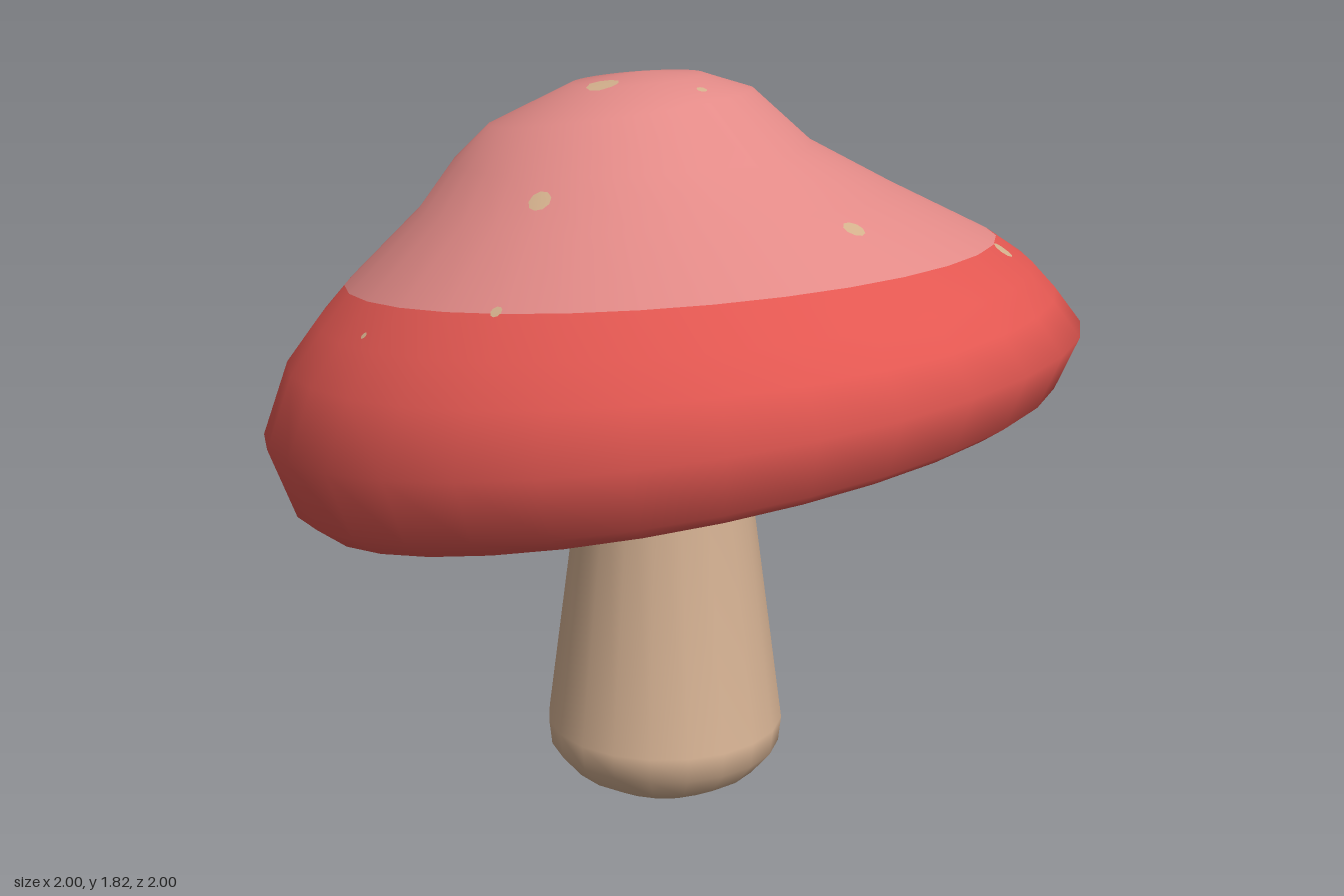
import * as THREE from 'three';
import { mergeVertices } from 'three/addons/utils/BufferGeometryUtils.js';

const SIDES = 32;

const material = (name, color) => {
  const m = new THREE.MeshStandardMaterial({ color });
  m.name = name;
  return m;
};

// Smooth skin over leaning rings: [radius, centre x, y, z, rise along x, rise along z]
function leaningRings(rings) {
  const lathe = new THREE.LatheGeometry(rings.map(([r]) => new THREE.Vector2(r, 0)), SIDES);
  const pos = lathe.attributes.position;
  for (let i = 0; i < pos.count; i++) {
    const [, cx, cy, cz, sx, sz] = rings[i % rings.length];
    const dx = pos.getX(i), dz = pos.getZ(i);
    pos.setXYZ(i, cx + dx, cy + sx * dx + sz * dz, cz + dz);
  }
  lathe.deleteAttribute('uv');
  lathe.deleteAttribute('normal');
  const geometry = mergeVertices(lathe);
  geometry.computeVertexNormals();
  return geometry;
}

export function createModel() {
  const red = material('red', 0xe25751);
  const pink = material('pink', 0xe28a87);
  const tan = material('tan', 0xd8b495);
  const spotTan = material('spot tan', 0xd3b08c);
  const model = new THREE.Group();
  model.name = 'mushroom';

  const add = (parent, name, geometry, mat) => {
    const mesh = new THREE.Mesh(geometry, mat);
    mesh.name = name;
    parent.add(mesh);
    return mesh;
  };

  // Stem: rounded foot, long taper, flaring out where it meets the cap
  const stemProfile = [
    [0, 0], [0.165, 0.005], [0.245, 0.05], [0.295, 0.11], [0.302, 0.175],
    [0.197, 0.96], [0.27, 0.995],
  ].map(([r, y]) => new THREE.Vector2(r, y));
  const stem = add(model, 'stem', new THREE.LatheGeometry(stemProfile, 20), tan);
  stem.position.set(-0.02, 0, 0.01);

  // Cap: the brim leans most, the crown is set back and to one side
  const capRings = [
    [0.875, 0, 0.885, 0.025, 0.12, 0.18],
    [0.94, 0, 0.935, 0.01, 0.115, 0.15],
    [1, 0, 1.085, 0, 0.09, 0.125],
    [0.935, 0, 1.22, 0, 0.06, 0.09],
    [0.87, 0.01, 1.3, 0, 0.045, 0.085],
    [0.794, 0.015, 1.367, -0.028, 0.03, 0.1],
    [0.58, -0.02, 1.517, -0.035, 0.02, 0.07],
    [0.435, -0.07, 1.63, -0.06, 0.03, 0.05],
    [0.32, -0.09, 1.737, -0.08, 0.09, 0.115],
    [0.16, -0.06, 1.805, -0.05, 0.05, 0.06],
    [0, -0.05, 1.822, -0.04, 0, 0],
  ];
  const capGeometry = leaningRings(capRings);
  const brimRows = 5, rows = capRings.length - 1;
  for (let i = 0; i < SIDES; i++) {
    const start = i * rows * 6;
    capGeometry.addGroup(start, brimRows * 6, 0);
    capGeometry.addGroup(start + brimRows * 6, (rows - brimRows) * 6, 1);
  }
  const cap = add(model, 'cap', capGeometry, [red, pink]);

  // Underside: dish that is deeper at the back, a lip, and a recess around the stem
  add(model, 'underside', leaningRings([
    [0, 0, 0.97, 0.02, 0, 0],
    [0.2, 0, 0.965, 0.02, 0.12, 0.18],
    [0.31, 0, 0.945, 0.02, 0.12, 0.18],
    [0.44, 0, 0.875, 0.02, 0.12, 0.18],
    [0.6, 0, 0.898, 0.02, 0.11, 0.16],
    [0.77, 0, 0.915, 0.025, 0.1, 0.145],
    [0.875, 0, 0.885, 0.025, 0.12, 0.18],
  ]), tan);

  // Spots: thin patches draped on the cap, as [x, z, radius]
  const spots = [
    [-0.19, 0.02, 0.04], [0.23, -0.4, 0.037], [-0.39, -0.29, 0.028], [-0.01, -0.31, 0.015],
    [0.3, -0.1, 0.015], [-0.46, 0.23, 0.028], [-0.01, 0.17, 0.013], [0.41, 0.1, 0.014],
    [0.62, 0.21, 0.013], [0.84, 0.17, 0.032], [0.59, 0.55, 0.027], [0.14, 0.59, 0.027],
    [-0.65, 0.4, 0.015], [-0.52, -0.74, 0.026], [-0.61, -0.46, 0.012], [-0.5, -0.56, 0.014],
    [-0.09, -0.92, 0.026], [0.29, -0.88, 0.03], [0.6, -0.69, 0.032], [0.45, -0.39, 0.011],
    [0.64, -0.38, 0.009], [-0.83, 0.08, 0.009],
  ];
  const caster = new THREE.Raycaster();
  const hitCap = (from, direction) => {
    caster.set(from, direction);
    return caster.intersectObject(cap)[0];
  };
  const spotGroup = new THREE.Group();
  spotGroup.name = 'spots';
  model.add(spotGroup);
  for (const [x, z, radius] of spots) {
    const centre = hitCap(new THREE.Vector3(x, 3, z), new THREE.Vector3(0, -1, 0));
    const normal = centre.face.normal.clone();
    const inward = normal.clone().negate();
    const geometry = new THREE.CircleGeometry(radius, 9);
    geometry.applyQuaternion(
      new THREE.Quaternion().setFromUnitVectors(new THREE.Vector3(0, 0, 1), normal));
    const pos = geometry.attributes.position;
    for (let i = 0; i < pos.count; i++) {
      const p = new THREE.Vector3().fromBufferAttribute(pos, i).add(centre.point);
      const hit = hitCap(p.clone().addScaledVector(normal, 0.1), inward);
      if (hit) p.copy(hit.point);
      p.addScaledVector(normal, 0.004);
      pos.setXYZ(i, p.x, p.y, p.z);
    }
    geometry.computeVertexNormals();
    add(spotGroup, 'spot', geometry, spotTan);
  }
  return model;
}
